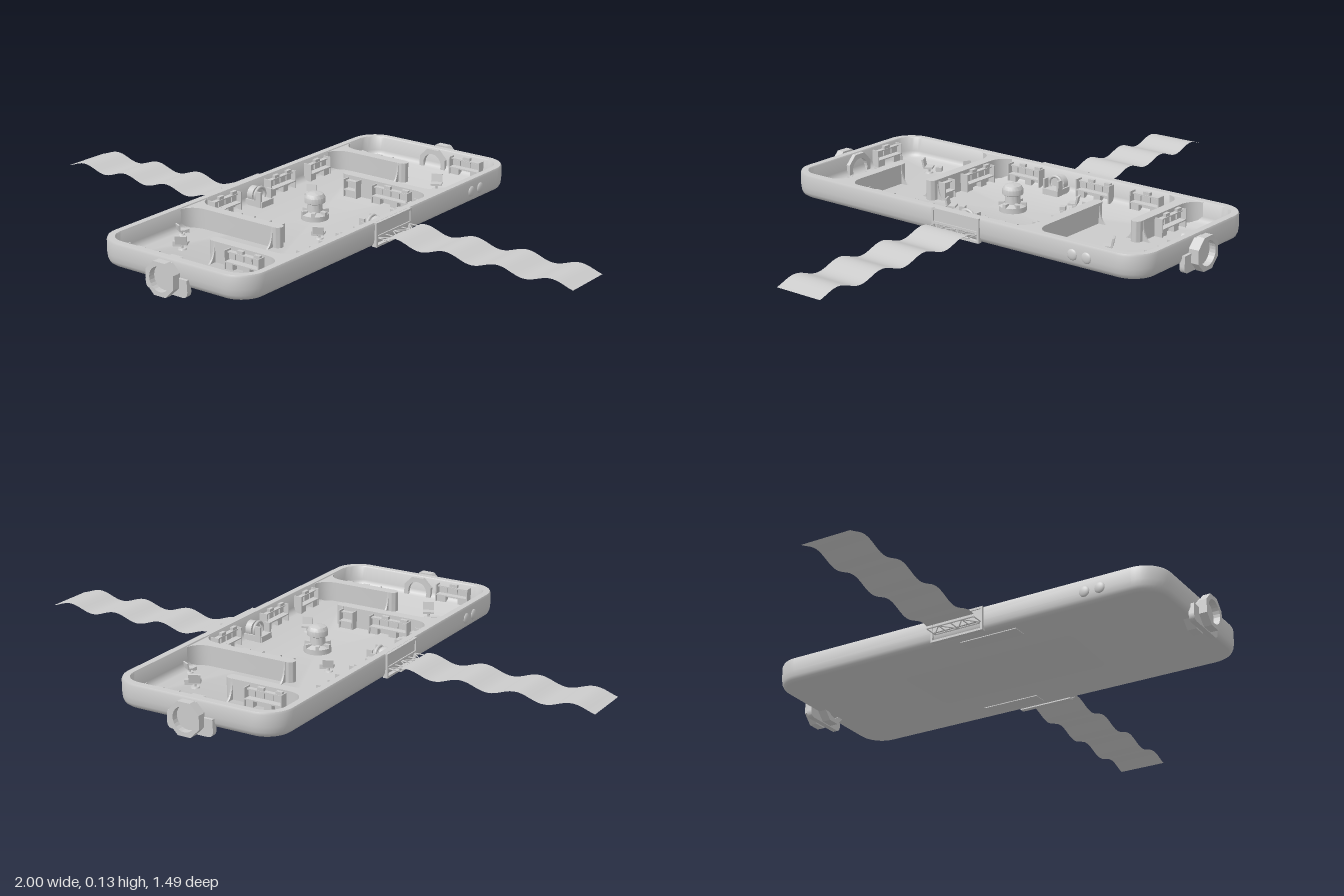
import * as THREE from 'three';
import { toCreasedNormals } from 'three/addons/utils/BufferGeometryUtils.js';

const FLOOR = 0.045, RIM = 0.115;
const grey = new THREE.MeshStandardMaterial({ color: 0xcccccc });
const greyThin = new THREE.MeshStandardMaterial({ color: 0xcccccc, side: THREE.DoubleSide });

function add(parent, name, geo, x = 0, y = 0, z = 0, ry = 0, mat = grey) {
  const m = new THREE.Mesh(geo, mat);
  m.name = name;
  m.position.set(x, y, z);
  m.rotation.y = ry;
  parent.add(m);
  return m;
}
const box = (w, h, d) => new THREE.BoxGeometry(w, h, d);

function group(parent, name, x, y, z, ry = 0) {
  const g = new THREE.Group();
  g.name = name;
  g.position.set(x, y, z);
  g.rotation.y = ry;
  parent.add(g);
  return g;
}

function bar(parent, name, a, b, r) {
  const A = new THREE.Vector3(...a), B = new THREE.Vector3(...b), d = B.clone().sub(A);
  const m = add(parent, name, new THREE.CylinderGeometry(r, r, d.length(), 6));
  m.position.copy(A).add(B).multiplyScalar(0.5);
  m.quaternion.setFromUnitVectors(new THREE.Vector3(0, 1, 0), d.normalize());
}

// Tray hull: rounded-rectangle rings lofted up the outside, over the rim and down inside
function hullGeometry() {
  const rings = [ // inset from outer wall, height
    [0.016, 0.035], [0.007, 0.041], [0.002, 0.052], [0, 0.07], [0, 0.108], [0.003, RIM],
    [0.025, RIM], [0.028, 0.111], [0.028, 0.065], [0.033, 0.052], [0.045, FLOOR]];
  const seg = 10, n = 4 * (seg + 1), pos = [], idx = [];
  for (const [inset, y] of rings) {
    const w = 0.298 - inset, d = 0.707 - inset, r = 0.09 - inset;
    for (let c = 0; c < 4; c++) for (let i = 0; i <= seg; i++) {
      const a = (c + i / seg) * Math.PI / 2;
      const sx = c === 0 || c === 3 ? 1 : -1, sz = c < 2 ? 1 : -1;
      pos.push(sx * (w - r) + r * Math.cos(a), y, sz * (d - r) + r * Math.sin(a));
    }
  }
  for (let k = 0; k < rings.length - 1; k++) for (let i = 0; i < n; i++) {
    const a = k * n + i, b = k * n + (i + 1) % n;
    idx.push(a, a + n, b, b, a + n, b + n);
  }
  const last = (rings.length - 1) * n, c0 = rings.length * n;
  pos.push(0, 0.035, 0, 0, FLOOR, 0);
  for (let i = 0; i < n; i++) {
    const j = (i + 1) % n;
    idx.push(c0, i, j, c0 + 1, last + j, last + i);
  }
  const g = new THREE.BufferGeometry();
  g.setAttribute('position', new THREE.Float32BufferAttribute(pos, 3));
  g.setIndex(idx);
  return toCreasedNormals(g, 0.7);
}

// Partition: root flares into the side wall, free end is rounded
function partition(parent, side, z, length) {
  const t = 0.018, f = 0.055, s = new THREE.Shape();
  s.moveTo(0, -t - f);
  s.quadraticCurveTo(0.008, -t, f + 0.01, -t);
  s.lineTo(length - t, -t);
  s.absarc(length - t, 0, t, -Math.PI / 2, Math.PI / 2, false);
  s.lineTo(f + 0.01, t);
  s.quadraticCurveTo(0.008, t, 0, t + f);
  const geo = new THREE.ExtrudeGeometry(s, { depth: RIM - 0.003 - FLOOR, bevelEnabled: false, curveSegments: 8 });
  geo.rotateX(-Math.PI / 2);
  const g = group(parent, 'partition', side * 0.272, FLOOR, z, side > 0 ? Math.PI : 0);
  add(g, 'partitionWall', toCreasedNormals(geo, 0.6));
  // concave buttress across the free end
  const b = new THREE.Shape();
  b.moveTo(-0.045, 0);
  b.quadraticCurveTo(-0.02, 0.01, -0.019, 0.066);
  b.lineTo(0.019, 0.066);
  b.quadraticCurveTo(0.02, 0.01, 0.045, 0);
  add(g, 'doorButtress', new THREE.ExtrudeGeometry(b, { depth: 0.006, bevelEnabled: false }), length - 0.03, 0, 0, Math.PI / 2);
}

// Wall workstation: back board, desk, end fins, cabinets and screens
function station(parent, x, z, len, ry) {
  const g = group(parent, 'workstation', x, FLOOR, z, ry);
  add(g, 'backBoard', box(len, 0.052, 0.006), 0, 0.026, 0.003);
  add(g, 'desk', box(len, 0.004, 0.028), 0, 0.024, 0.016);
  add(g, 'shelf', box(len, 0.004, 0.016), 0, 0.052, 0.01);
  for (const s of [-1, 1]) add(g, 'endFin', box(0.004, 0.06, 0.03), s * len / 2, 0.03, 0.015);
  const n = Math.max(1, Math.round(len / 0.035)), step = len / n;
  for (let i = 0; i < n; i++) {
    const px = -len / 2 + (i + 0.5) * step;
    add(g, 'screen', box(step * 0.72, 0.018, 0.005), px, 0.039, 0.011);
    if (i % 2 === 0) add(g, 'cabinet', box(step * 0.8, 0.022, 0.022), px, 0.011, 0.015);
    else add(g, 'upperLocker', box(step * 0.7, 0.012, 0.012), px, 0.058, 0.01);
  }
}

function chair(parent, x, z, ry, k = 1) {
  const g = group(parent, 'chair', x, FLOOR, z, ry);
  g.scale.setScalar(k);
  add(g, 'chairFoot', new THREE.CylinderGeometry(0.012, 0.014, 0.004, 8), 0, 0.002, 0);
  add(g, 'chairStem', new THREE.CylinderGeometry(0.004, 0.004, 0.014, 8), 0, 0.01, 0);
  add(g, 'seat', box(0.034, 0.006, 0.028), 0, 0.019, 0);
  add(g, 'backrest', box(0.034, 0.026, 0.006), 0, 0.032, -0.015).rotation.x = -0.2;
  add(g, 'sideTable', box(0.022, 0.014, 0.018), 0.022, 0.007, 0.028);
}

// Docking port, local +z points outward from the hull end
function dock(parent, z, ry) {
  const g = group(parent, 'dockingPort', 0, 0.06, z, ry);
  const ring = (ro, ri, d, z0) => {
    const s = new THREE.Shape(), h = new THREE.Path();
    for (let i = 0; i < 8; i++) {
      const a = (i + 0.5) * Math.PI / 4;
      s[i ? 'lineTo' : 'moveTo'](ro * Math.cos(a), ro * Math.sin(a));
    }
    h.absarc(0, 0, ri, 0, Math.PI * 2, true);
    s.holes.push(h);
    add(g, 'dockRing', new THREE.ExtrudeGeometry(s, { depth: d, bevelEnabled: false }), 0, 0, z0);
  };
  ring(0.058, 0.04, 0.026, 0.014);
  ring(0.05, 0.038, 0.02, -0.003);
  ring(0.056, 0.036, 0.03, -0.042);
  const s = new THREE.Shape();
  s.moveTo(-0.065, -0.052);
  s.lineTo(0.065, -0.052);
  s.quadraticCurveTo(0.082, -0.05, 0.082, -0.03);
  s.lineTo(0.08, 0.005);
  s.lineTo(-0.08, 0.005);
  s.lineTo(-0.082, -0.03);
  s.quadraticCurveTo(-0.082, -0.05, -0.065, -0.052);
  add(g, 'dockCradle', new THREE.ExtrudeGeometry(s, { depth: 0.018, bevelEnabled: false }), 0, 0, -0.008);
  add(g, 'dockHatch', new THREE.CylinderGeometry(0.041, 0.041, 0.008, 24).rotateX(Math.PI / 2), 0, 0, 0.014);
}

// Solar wing with its housing and truss, on the +x side
function wing(parent) {
  const g = group(parent, 'solarWing', 0, 0, 0), z0 = -0.1, z1 = 0.07, y = 0.063, x0 = 0.298, x1 = 0.345;
  const sheet = new THREE.PlaneGeometry(1 - x1, z1 - z0, 56, 1).rotateX(-Math.PI / 2);
  sheet.translate((1 + x1) / 2, y, (z0 + z1) / 2);
  const p = sheet.attributes.position;
  for (let i = 0; i < p.count; i++) p.setY(i, y + 0.011 * Math.cos((p.getX(i) - 0.365) * Math.PI * 2 / 0.187));
  sheet.computeVertexNormals();
  add(g, 'solarSheet', sheet, 0, 0, 0, 0, greyThin);
  for (const x of [x0, x1]) bar(g, 'trussRail', [x, y, z0], [x, y, z1], 0.003);
  for (let i = 0; i <= 4; i++) {
    const a = z0 + (z1 - z0) * i / 4, b = z0 + (z1 - z0) * (i + 1) / 4;
    bar(g, 'trussRung', [x0, y, a], [x1, y, a], 0.002);
    if (i < 4) bar(g, 'trussDiagonal', [x0, y, i % 2 ? b : a], [x1, y, i % 2 ? a : b], 0.002);
  }
  for (const z of [-0.103, 0.079]) add(g, 'housingPost', box(0.016, 0.08, 0.007), 0.297, 0.075, z);
  for (const [h, cy] of [[0.007, 0.038], [0.006, 0.069], [0.007, 0.111]])
    add(g, 'housingRail', box(0.016, h, 0.186), 0.297, cy, -0.012);
  add(g, 'housingCover', box(0.008, 0.042, 0.182), 0.297, 0.09, -0.012);
  add(g, 'undersidePlate', box(0.05, 0.004, 0.2), 0.235, 0.0345, -0.1);
}

// Inner airlock on the side wall, on the -x side
function airlock(parent) {
  const g = group(parent, 'airlock', -0.23, FLOOR, 0);
  add(g, 'airlockBase', box(0.07, 0.02, 0.06), 0, 0.01, 0);
  add(g, 'airlockDoor', new THREE.CylinderGeometry(0.027, 0.027, 0.022, 16).rotateZ(Math.PI / 2), -0.02, 0.032, 0);
  add(g, 'airlockFrame', new THREE.TorusGeometry(0.026, 0.005, 8, 20), 0.002, 0.032, 0, Math.PI / 2);
  for (const s of [-1, 1]) add(g, 'airlockPost', box(0.02, 0.052, 0.008), 0.02, 0.026, s * 0.028);
}

// One half of the station; the other half is the same turned by 180 degrees
function half(parent, ry) {
  const g = group(parent, 'stationHalf', 0, 0, 0, ry);
  partition(g, -1, -0.487, 0.292);
  partition(g, 1, -0.28, 0.362);
  dock(g, -0.707, Math.PI);
  wing(g);
  airlock(g);
  const q = Math.PI / 2;
  const stations = [[-0.135, -0.504, 0.13, 2 * q], [0.125, -0.263, 0.14, 0], [-0.035, -0.263, 0.05, 0],
    [0.14, -0.682, 0.12, 0], [-0.27, -0.345, 0.11, q], [-0.27, -0.14, 0.13, q], [0.27, -0.145, 0.13, -q]];
  for (const s of stations) station(g, ...s);
  chair(g, 0.145, -0.48, 0.5, 1.1);
  chair(g, 0.235, -0.38, -0.5, 0.8);
  chair(g, -0.13, -0.145, 0.4);
  for (const z of [-0.46, -0.512]) {
    const port = add(g, 'porthole', new THREE.SphereGeometry(0.018, 20, 12), 0.297, 0.075, z);
    port.scale.x = 0.4;
  }
}

export function createModel() {
  const root = new THREE.Group();
  root.name = 'spaceStation';
  add(root, 'hull', hullGeometry());
  // Central column with a domed cap
  const profile = [[0.045, FLOOR], [0.045, 0.062], [0.034, 0.066], [0.026, 0.07], [0.024, 0.096], [0.034, 0.101],
    [0.034, 0.118], [0.027, 0.129], [0.015, 0.134], [0, 0.135]].map(([r, y]) => new THREE.Vector2(r, y));
  add(root, 'centralColumn', toCreasedNormals(new THREE.LatheGeometry(profile, 20), 0.6));
  for (let i = 0; i < 6; i++) {
    const a = i * Math.PI / 3;
    add(root, 'columnConsole', box(0.02, 0.012, 0.012), 0.036 * Math.cos(a), 0.068, 0.036 * Math.sin(a), -a);
  }
  half(root, 0);
  half(root, Math.PI);
  return root;
}
